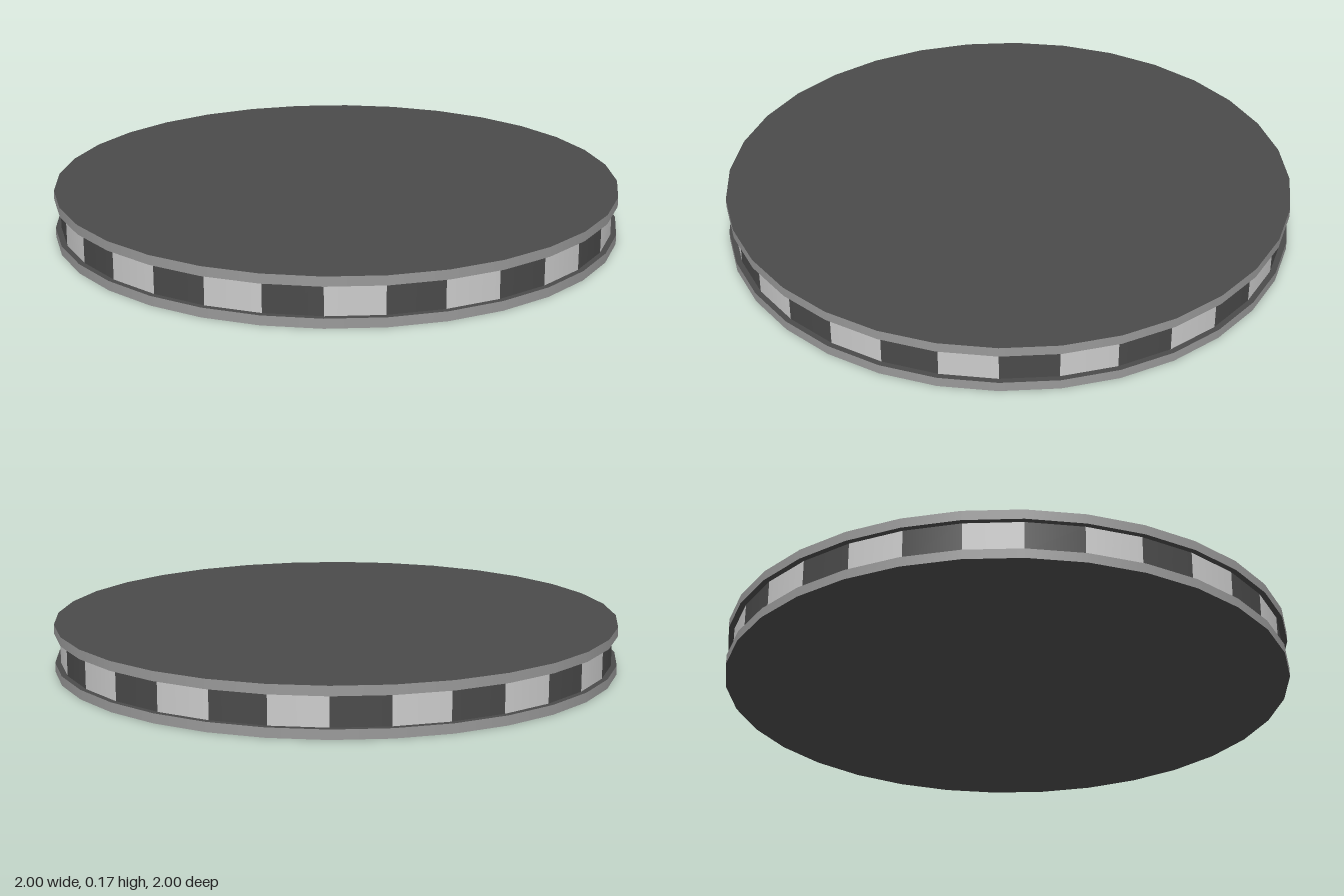
import * as THREE from 'three';

const SIDES = 32;
const RIM_RADIUS = 1, BAND_RADIUS = 0.98;
const HEIGHT = 0.17, RIM_HEIGHT = 0.033;

export function createModel() {
  const group = new THREE.Group();
  group.name = 'checkeredDisc';
  const dark = new THREE.MeshStandardMaterial({ color: 0x4a4a4a });
  const mid = new THREE.MeshStandardMaterial({ color: 0x999999 });
  const light = new THREE.MeshStandardMaterial({ color: 0xcccccc });

  // Two plates: mid-grey edge with dark faces
  const plateGeometry = new THREE.CylinderGeometry(RIM_RADIUS, RIM_RADIUS, RIM_HEIGHT, SIDES);
  for (const [name, y] of [['bottomPlate', RIM_HEIGHT / 2], ['topPlate', HEIGHT - RIM_HEIGHT / 2]]) {
    const plate = new THREE.Mesh(plateGeometry, [mid, dark, dark]);
    plate.name = name;
    plate.position.y = y;
    group.add(plate);
  }

  // Recessed band of flat panels, alternating dark and light
  const band = new THREE.Group();
  band.name = 'checkeredBand';
  const step = (Math.PI * 2) / SIDES;
  const panelGeometry = new THREE.CylinderGeometry(
    BAND_RADIUS, BAND_RADIUS, HEIGHT - 2 * RIM_HEIGHT, 1, 1, true, 0, step);
  for (let i = 0; i < SIDES; i++) {
    const panel = new THREE.Mesh(panelGeometry, i % 2 ? light : dark);
    panel.name = i % 2 ? 'lightPanel' : 'darkPanel';
    panel.position.y = HEIGHT / 2;
    panel.rotation.y = i * step;
    band.add(panel);
  }
  group.add(band);
  return group;
}
